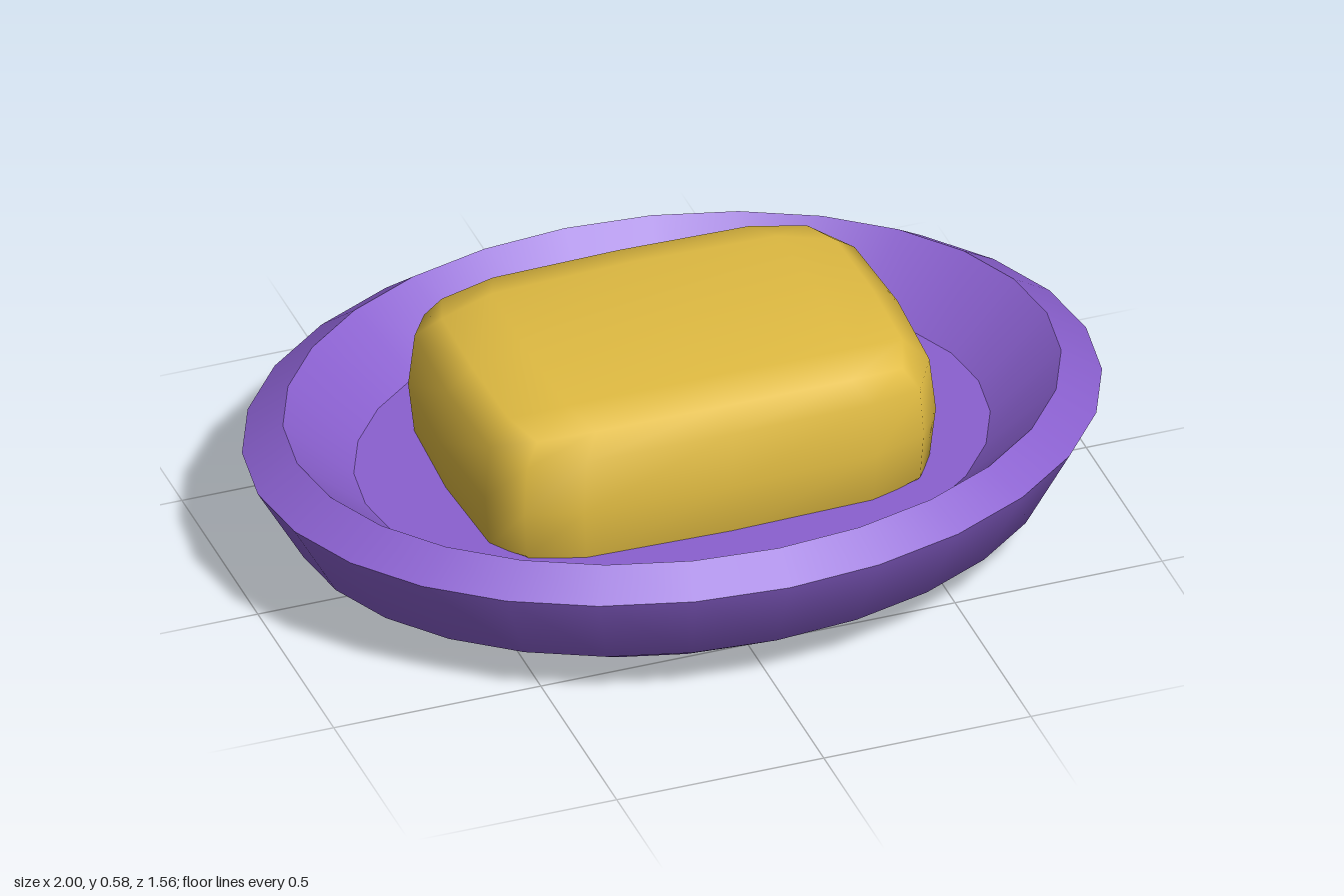
import * as THREE from 'three';
import { mergeGeometries, mergeVertices } from 'three/addons/utils/BufferGeometryUtils.js';

const purple = new THREE.MeshStandardMaterial({ color: 0x8a60cf });
purple.name = 'purple';
const gold = new THREE.MeshStandardMaterial({ color: 0xe0bb42 });
gold.name = 'gold';

// Oval dish: each profile band is smooth in itself, with sharp edges between bands
function makeDish() {
  const bands = [
    [[0, 0], [0.645, 0], [0.89, 0.13], [1, 0.325]], // underside and outer wall
    [[1, 0.325], [0.905, 0.387]],                   // bevelled rim
    [[0.905, 0.387], [0.74, 0.24]],                 // inner wall
    [[0.74, 0.24], [0, 0.24]],                      // floor
  ];
  const parts = bands.map((band) =>
    new THREE.LatheGeometry(band.map(([r, y]) => new THREE.Vector2(r, y)), 28));
  const dish = new THREE.Mesh(mergeGeometries(parts).scale(1, 1, 0.778), purple);
  dish.name = 'dish';
  return dish;
}

// Soap bar: a coarse cube pushed out onto a rounded-box (superellipsoid) surface
function makeSoap() {
  const power = 4.6;
  let geo = new THREE.BoxGeometry(2, 2, 2, 4, 4, 4);
  geo.deleteAttribute('uv');
  geo.deleteAttribute('normal');
  geo = mergeVertices(geo);
  const pos = geo.attributes.position;
  // move the in-between rows closer to the edges
  const spread = (v) => (Math.abs(Math.abs(v) - 0.5) < 0.01 ? Math.sign(v) * 0.65 : v);
  for (let i = 0; i < pos.count; i++) {
    const p = [pos.getX(i), pos.getY(i), pos.getZ(i)].map(spread);
    const k = p.reduce((sum, v) => sum + Math.abs(v) ** power, 0) ** (-1 / power);
    pos.setXYZ(i, p[0] * k * 0.56, p[1] * k * 0.215, p[2] * k * 0.4);
  }
  geo.computeVertexNormals();
  const soap = new THREE.Mesh(geo, gold);
  soap.name = 'soapBar';
  soap.position.y = 0.365;
  return soap;
}

export function createModel() {
  const group = new THREE.Group();
  group.name = 'soapDish';
  group.add(makeDish(), makeSoap());
  return group;
}
